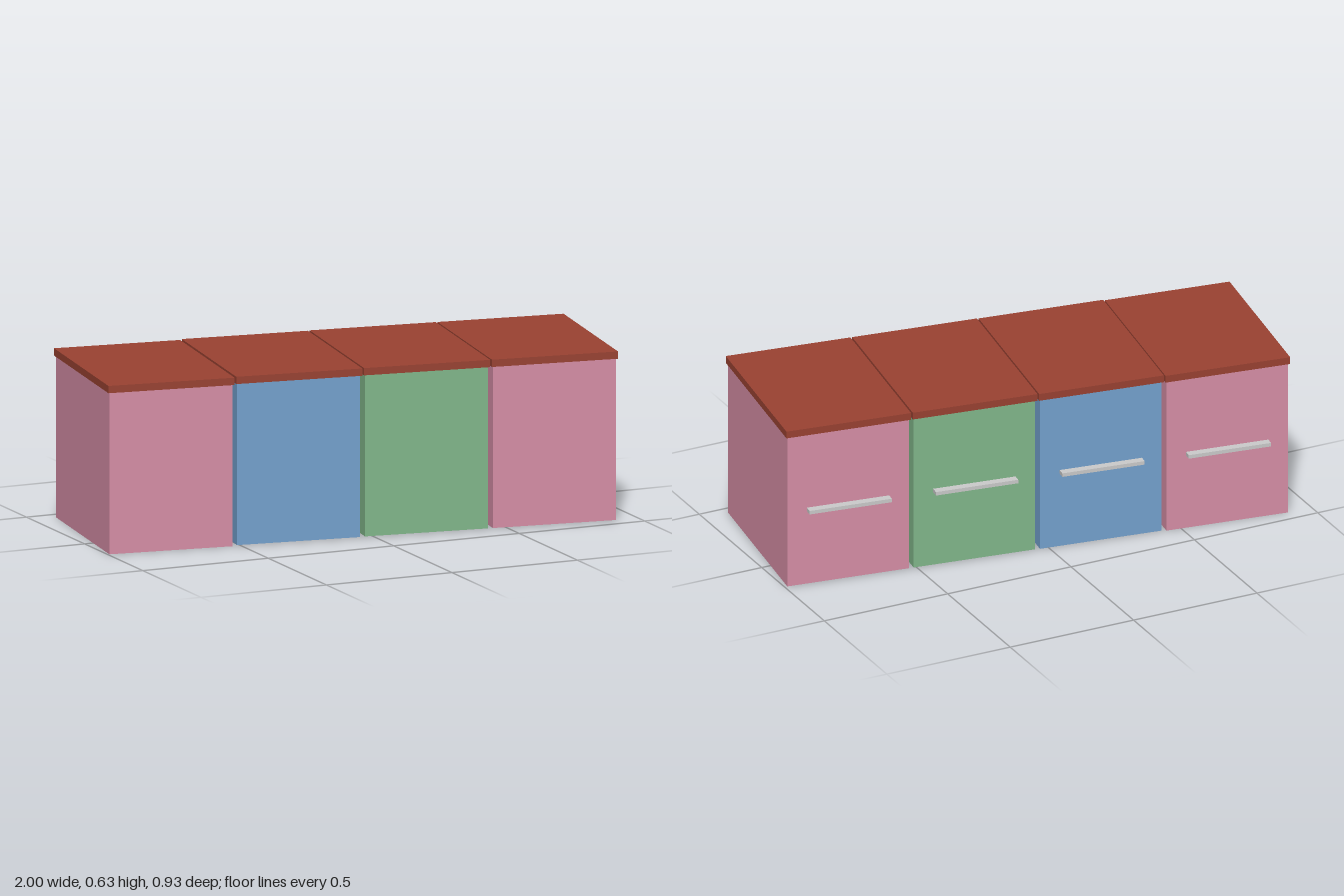
import * as THREE from 'three';

// A row of four base cabinets, handles on the -z side, turned slightly about y.
const PITCH = 0.4835;
const BODY = [0.465, 0.598, 0.653];
const WORKTOP = [0.477, 0.027, 0.67];
const HANDLE = [0.315, 0.014, 0.03];

const material = (color) => new THREE.MeshStandardMaterial({ color });

function box(name, [w, h, d], mat, y, z = 0) {
  const mesh = new THREE.Mesh(new THREE.BoxGeometry(w, h, d), mat);
  mesh.name = name;
  mesh.position.set(0, y, z);
  return mesh;
}

export function createModel() {
  const model = new THREE.Group();
  model.name = 'cabinetRow';
  const pink = material(0xd88fa7);
  const blue = material(0x74a2cf);
  const green = material(0x82b88b);
  const brown = material(0x9a4232);
  const grey = material(0xcccccc);

  // each unit stands at a slightly different height
  const units = [
    { color: pink, lift: 0 },
    { color: blue, lift: 0.003 },
    { color: green, lift: 0.004 },
    { color: pink, lift: 0.004 },
  ];

  units.forEach(({ color, lift }, i) => {
    const cabinet = new THREE.Group();
    cabinet.name = `cabinet${i + 1}`;
    cabinet.add(
      box('cabinetBody', BODY, color, BODY[1] / 2),
      box('worktop', WORKTOP, brown, BODY[1] + WORKTOP[1] / 2),
      box('handle', HANDLE, grey, 0.297, -(BODY[2] + HANDLE[2]) / 2),
    );
    cabinet.position.set((i - 1.5) * PITCH, lift, 0);
    model.add(cabinet);
  });

  model.rotation.y = -0.1355;
  model.position.z = 0.004;
  const root = new THREE.Group();
  root.name = 'cabinets';
  root.add(model);
  return root;
}
